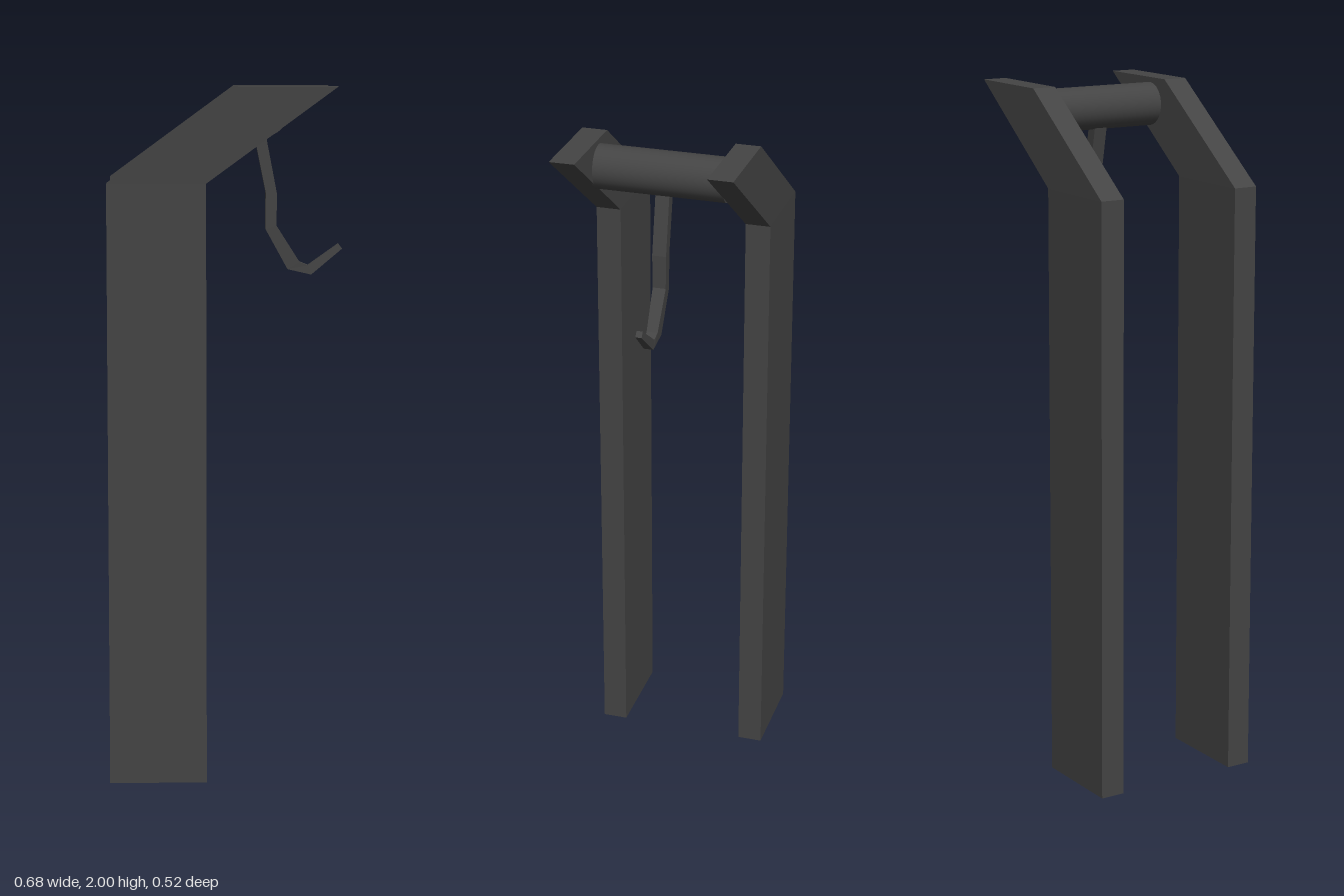
import * as THREE from 'three';

const material = new THREE.MeshStandardMaterial({ color: 0x444444 });
const flatMaterial = new THREE.MeshStandardMaterial({ color: 0x444444, flatShading: true });

// Bent side plank; its upper end leans very slightly towards +z
function makePlank(zBack) {
  const shape = new THREE.Shape([
    [-0.34, 0], [-0.06, 0], [-0.06, 1.73], [0.31, 2], [0.03, 2], [-0.34, 1.73],
  ].map(([x, y]) => new THREE.Vector2(x, y)));
  const geometry = new THREE.ExtrudeGeometry(shape, { depth: 0.072, bevelEnabled: false });
  const p = geometry.attributes.position;
  for (let i = 0; i < p.count; i++) {
    p.setZ(i, p.getZ(i) + zBack + (p.getY(i) > 1.9 ? 0.007 : 0));
  }
  geometry.computeVertexNormals();
  return new THREE.Mesh(geometry, flatMaterial);
}

// Tapered hook: each section is [outer x, outer y, inner x, inner y, half width]
function makeHook() {
  const sections = [
    [0.078, 1.88, 0.111, 1.885, 0.02],
    [0.116, 1.693, 0.148, 1.693, 0.02],
    [0.116, 1.587, 0.148, 1.597, 0.019],
    [0.18, 1.471, 0.215, 1.492, 0.016],
    [0.249, 1.455, 0.24, 1.482, 0.014],
    [0.339, 1.53, 0.328, 1.545, 0.009],
  ];
  const rings = sections.map(([ox, oy, ix, iy, w]) => [
    [ox, oy, w], [ix, iy, w], [ix, iy, -w], [ox, oy, -w],
  ]);
  const positions = [];
  const quad = (a, b, c, d) => positions.push(...a, ...b, ...c, ...a, ...c, ...d);
  for (let i = 0; i < rings.length - 1; i++) {
    for (let k = 0; k < 4; k++) {
      const n = (k + 1) % 4;
      quad(rings[i][k], rings[i + 1][k], rings[i + 1][n], rings[i][n]);
    }
  }
  quad(...rings[0]);
  quad(...[...rings[rings.length - 1]].reverse());
  const geometry = new THREE.BufferGeometry();
  geometry.setAttribute('position', new THREE.Float32BufferAttribute(positions, 3));
  geometry.computeVertexNormals();
  return new THREE.Mesh(geometry, flatMaterial);
}

export function createModel() {
  const model = new THREE.Group();
  model.name = 'hookStand';

  // Two side planks
  for (const [name, z] of [['frontPlank', 0.18], ['backPlank', -0.261]]) {
    const plank = makePlank(z);
    plank.name = name;
    model.add(plank);
  }

  // Round crossbar between the upper ends
  const bar = new THREE.Mesh(new THREE.CylinderGeometry(0.0625, 0.0625, 0.376, 32), material);
  bar.rotation.x = Math.PI / 2;
  bar.position.set(0.107, 1.923, 0.002);
  bar.name = 'crossbar';
  model.add(bar);

  // Hook hanging from the crossbar
  const hook = makeHook();
  hook.name = 'hook';
  hook.position.z = 0.001;
  model.add(hook);

  return model;
}
